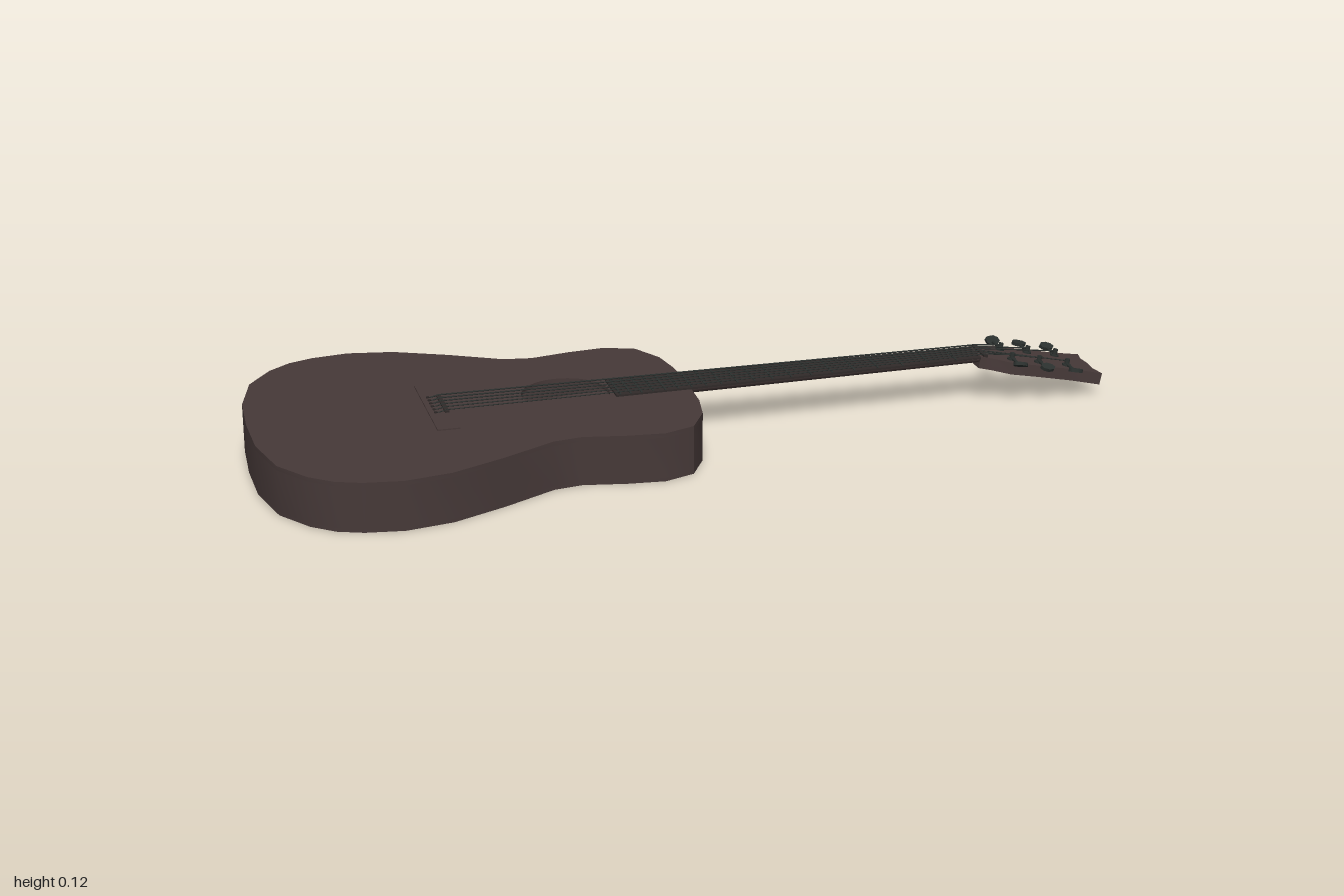
import * as THREE from 'three';
import { toCreasedNormals } from 'three/addons/utils/BufferGeometryUtils.js';

const material = (name, color) => {
  const m = new THREE.MeshStandardMaterial({ color });
  m.name = name;
  return m;
};

export function createModel() {
  const wood = material('dark brown wood', 0x463938);
  const ebony = material('dark fretboard', 0x302a29);
  const metal = material('dark metal', 0x2b302e);

  const guitar = new THREE.Group();
  guitar.name = 'guitar';
  const add = (parent, name, geometry, mat) => {
    const mesh = new THREE.Mesh(geometry, mat);
    mesh.name = name;
    parent.add(mesh);
    return mesh;
  };
  const box = (parent, name, size, pos, mat) => {
    const mesh = add(parent, name, new THREE.BoxGeometry(...size), mat);
    mesh.position.set(...pos);
    return mesh;
  };
  // Straight round bar between two points
  const rod = (parent, name, a, b, r, mat, sides = 6) => {
    const d = b.clone().sub(a);
    const mesh = add(parent, name, new THREE.CylinderGeometry(r, r, d.length(), sides), mat);
    mesh.position.copy(a).addScaledVector(d, 0.5);
    mesh.quaternion.setFromUnitVectors(new THREE.Vector3(0, 1, 0), d.normalize());
    return mesh;
  };
  // Plan outline (x, z) extruded upwards from y0
  const plan = (points, y0, height, holes = []) => {
    const shape = new THREE.Shape(points.map(([x, z]) => new THREE.Vector2(x, -z)));
    shape.holes.push(...holes);
    const g = new THREE.ExtrudeGeometry(shape, { depth: height, bevelEnabled: false, curveSegments: 24 });
    g.rotateX(-Math.PI / 2).translate(0, y0, 0);
    return toCreasedNormals(g, 0.65);
  };

  // Body: symmetrical outline, hollow, with a round sound hole
  const half = [[-0.995, 0.13], [-0.965, 0.256], [-0.91, 0.335], [-0.86, 0.375], [-0.805, 0.396],
    [-0.72, 0.408], [-0.615, 0.39], [-0.495, 0.336], [-0.375, 0.272], [-0.31, 0.262],
    [-0.215, 0.28], [-0.13, 0.288], [-0.06, 0.262], [-0.02, 0.19], [-0.006, 0.11]];
  const outline = [[-1, 0], ...half, [-0.003, 0], ...half.map(([x, z]) => [x, -z]).reverse()];
  const inner = new THREE.Path(outline.map(([x, z]) => new THREE.Vector2((x + 0.5) * 0.975 - 0.5, -z * 0.965)));
  const soundHole = new THREE.Path();
  soundHole.absarc(-0.285, 0.01, 0.1, 0, Math.PI * 2, true);
  const body = new THREE.Group();
  body.name = 'body';
  guitar.add(body);
  add(body, 'back', plan(outline, 0, 0.008), wood);
  add(body, 'sides', plan(outline, 0.008, 0.094, [inner]), wood);
  add(body, 'soundboard', plan(outline, 0.102, 0.01, [soundHole]), wood);

  // Neck assembly, slightly turned towards -z
  const neck = new THREE.Group();
  neck.name = 'neckAssembly';
  neck.position.z = -0.0125;
  neck.rotation.y = 0.0095;
  guitar.add(neck);

  // Bridge, saddle and pins
  box(neck, 'bridge', [0.05, 0.003, 0.29], [-0.58, 0.1135, 0.007], wood);
  box(neck, 'saddle', [0.01, 0.006, 0.11], [-0.565, 0.116, 0], ebony);

  // Half-round neck back under a tapered fretboard
  const back = new THREE.CylinderGeometry(0.04, 0.05, 0.73, 16, 1, false, 0, Math.PI);
  back.rotateZ(-Math.PI / 2).scale(1, 0.42, 1).translate(0.355, 0.113, 0);
  add(neck, 'neckBack', back, wood);
  add(neck, 'fretboard', plan([[-0.18, 0.053], [0.71, 0.04], [0.71, -0.04], [-0.18, -0.053]], 0.1115, 0.005), ebony);
  for (let i = 1; i <= 20; i++) {
    const x = -0.575 + 1.285 * Math.pow(2, -i / 12);
    if (x > -0.18) box(neck, 'fret', [0.004, 0.002, 0.08 + (0.71 - x) * 0.028], [x, 0.117, 0], metal);
  }
  box(neck, 'nut', [0.01, 0.014, 0.08], [0.712, 0.114, 0], ebony);

  // Headstock tilted back behind the nut
  const tilt = 0.2;
  const head = new THREE.Group();
  head.name = 'headstock';
  head.position.set(0.71, 0.116, 0);
  head.rotation.z = -tilt;
  neck.add(head);
  const headHalf = [[-0.01, 0.04], [0.02, 0.046], [0.065, 0.064], [0.13, 0.061], [0.22, 0.061], [0.292, 0.07]];
  add(head, 'headstockPlate',
    plan([...headHalf, [0.283, 0.035], [0.287, 0], [0.283, -0.035], ...headHalf.map(([x, z]) => [x, -z]).reverse()], -0.028, 0.028), wood);

  // Tuners: post, shaft and flat key, three on each side
  const posts = [];
  const angles = { '-1': [1.1, 0.1, 0.4], '1': [0.5, -0.4, 0.2] };
  for (const side of [-1, 1]) {
    [0.07, 0.14, 0.213].forEach((u, i) => {
      const z = side * 0.036;
      rod(head, 'tunerPost', new THREE.Vector3(u, -0.005, z), new THREE.Vector3(u, 0.017, z), 0.006, metal, 8);
      rod(head, 'tunerCollar', new THREE.Vector3(u, 0, z), new THREE.Vector3(u, 0.004, z), 0.011, metal, 8);
      rod(head, 'tunerShaft', new THREE.Vector3(u, 0.004, z), new THREE.Vector3(u, 0.004, side * 0.08), 0.004, metal);
      const key = add(head, 'tunerKey', new THREE.CylinderGeometry(0.016, 0.016, 0.008, 8), metal);
      key.scale.set(1.15, 1, 0.75);
      key.position.set(u, 0.006, side * 0.088);
      key.rotation.x = -side * angles[side][i];
      const c = Math.cos(tilt), s = Math.sin(tilt);
      posts.push(new THREE.Vector3(0.71 + c * u + s * 0.012, 0.116 - s * u + c * 0.012, z));
    });
  }

  // Six strings, nearest posts taken by the outer strings
  [0, 1, 2, 5, 4, 3].forEach((post, i) => {
    const t = i - 2.5;
    const r = 0.0012 + (5 - i) * 0.0001;
    const atBridge = new THREE.Vector3(-0.565, 0.12, t * 0.0195);
    const atNut = new THREE.Vector3(0.712, 0.1215, t * 0.0135);
    rod(neck, 'stringEnd', new THREE.Vector3(-0.59, 0.114, t * 0.0195), atBridge, r, metal);
    rod(neck, 'string', atBridge, atNut, r, metal);
    rod(neck, 'stringToTuner', atNut, posts[post], r, metal);
    rod(neck, 'bridgePin', new THREE.Vector3(-0.59, 0.112, t * 0.0195), new THREE.Vector3(-0.59, 0.118, t * 0.0195), 0.004, ebony);
  });

  return guitar;
}
